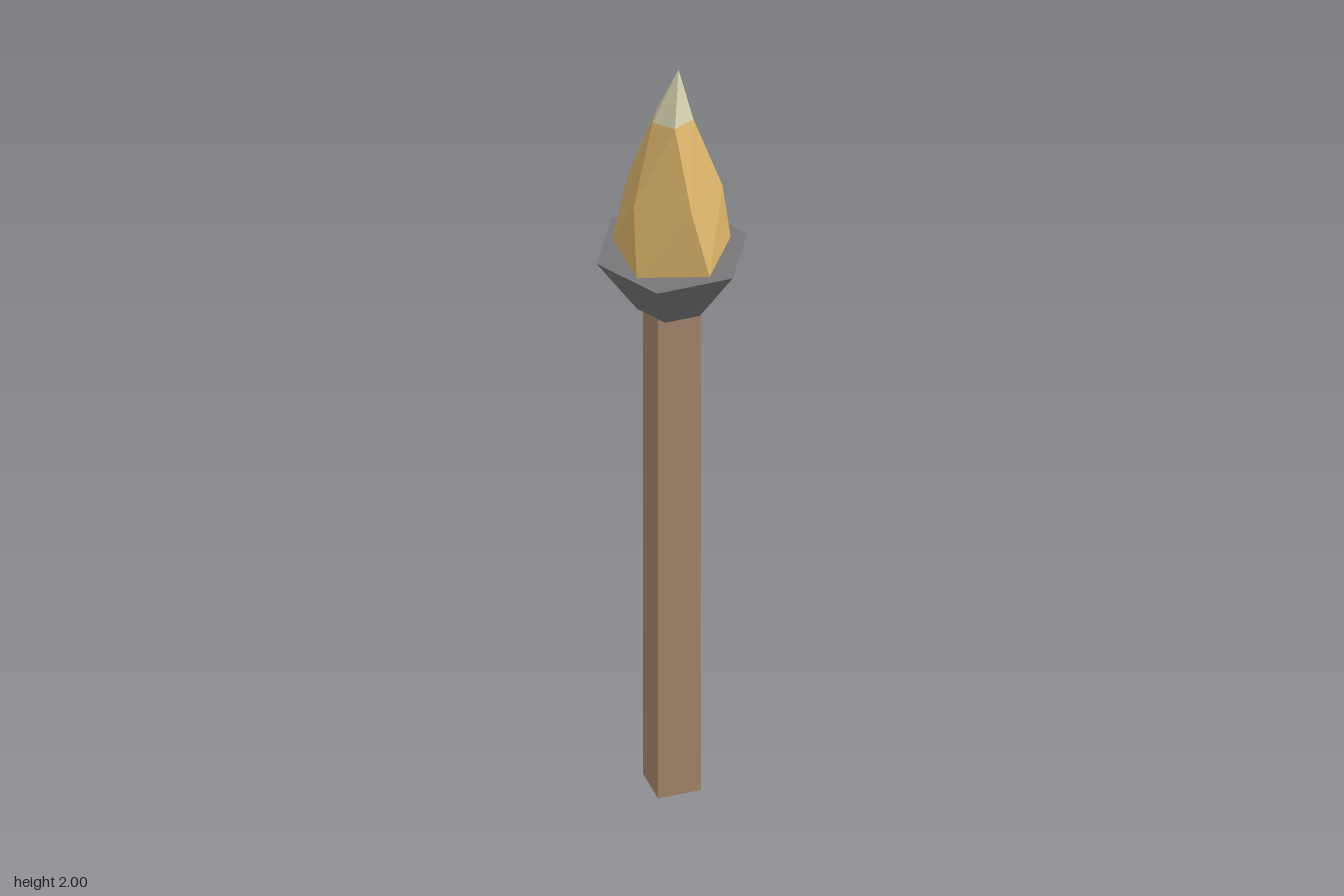
import * as THREE from 'three';

const SIDES = 5;

function makeMaterial(name, color) {
  const m = new THREE.MeshStandardMaterial({ color, flatShading: true });
  m.name = name;
  return m;
}

// Five-cornered horizontal ring, turned by a twist angle in degrees
function ring(radius, y, twist) {
  return Array.from({ length: SIDES }, (_, i) => {
    const a = THREE.MathUtils.degToRad(twist) + (i * Math.PI * 2) / SIDES;
    return new THREE.Vector3(Math.cos(a) * radius, y, Math.sin(a) * radius);
  });
}

// Triangles between two rings; the diagonals lean against the twist
function band(lower, upper) {
  const out = [];
  for (let i = 0; i < SIDES; i++) {
    const j = (i + 1) % SIDES;
    out.push(lower[j], lower[i], upper[i], lower[j], upper[i], upper[j]);
  }
  return out;
}

// Triangles from a ring up to one point
function cone(lower, apex) {
  return lower.flatMap((p, i) => [lower[(i + 1) % SIDES], p, apex]);
}

function facets(points) {
  const g = new THREE.BufferGeometry().setFromPoints(points);
  g.computeVertexNormals();
  return g;
}

export function createModel() {
  const group = new THREE.Group();
  group.name = 'torch';
  const add = (name, geometry, material) => {
    const mesh = new THREE.Mesh(geometry, material);
    mesh.name = name;
    group.add(mesh);
  };

  // Square wooden handle
  const handle = new THREE.BoxGeometry(0.104, 1.35, 0.104).translate(0, 0.675, 0);
  add('handle', handle, makeMaterial('wood', 0xa98a6f));

  // Six-sided flared cup, corners on the x axis
  const cup = new THREE.CylinderGeometry(0.184, 0.085, 0.15, 6)
    .rotateY(Math.PI / 2)
    .translate(0, 1.425, 0);
  add('cup', cup, makeMaterial('dark iron', 0x787678));

  // Twisted flame with a pale, slightly off-centre tip
  const base = ring(0.143, 1.5, 0);
  const middle = ring(0.117, 1.67, 14.5);
  const neck = ring(0.05, 1.87, 29.5);
  add('flame', facets([...band(base, middle), ...band(middle, neck)]), makeMaterial('flame orange', 0xdeb66c));
  add('flameTip', facets(cone(neck, new THREE.Vector3(0.016, 2, 0))), makeMaterial('pale yellow', 0xd8d3b0));

  return group;
}
